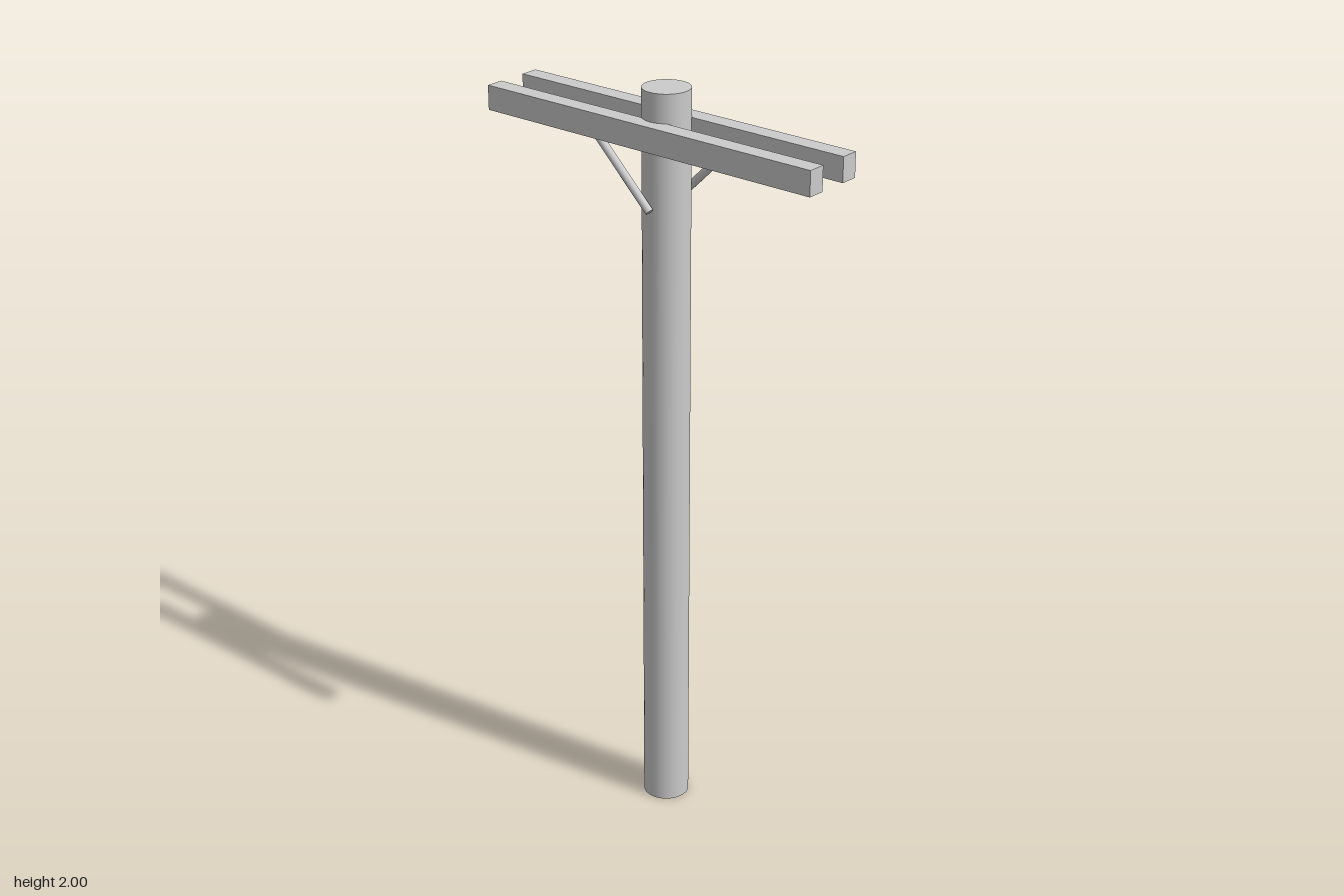
import * as THREE from 'three';

const POLE_Z = -0.009;

export function createModel() {
  const model = new THREE.Group();
  model.name = 'utilityPole';
  const material = new THREE.MeshStandardMaterial({ color: 0xcccccc });

  const add = (name, geometry, x, y, z) => {
    const mesh = new THREE.Mesh(geometry, material);
    mesh.name = name;
    mesh.position.set(x, y, z);
    model.add(mesh);
    return mesh;
  };

  // Round rod running between two points
  const rod = (name, from, to, radius) => {
    const dir = to.clone().sub(from);
    const mid = from.clone().add(to).multiplyScalar(0.5);
    const mesh = add(name, new THREE.CylinderGeometry(radius, radius, dir.length(), 16), mid.x, mid.y, mid.z);
    mesh.quaternion.setFromUnitVectors(new THREE.Vector3(0, 1, 0), dir.normalize());
  };

  // Upright pole
  add('pole', new THREE.CylinderGeometry(0.061, 0.061, 2, 32), 0, 1, POLE_Z);

  // A crossarm on each face, each with one diagonal brace to opposite sides
  const sides = [
    { name: 'front', armZ: 0.062, braceZ: 0.065, dir: -1 },
    { name: 'back', armZ: -0.064, braceZ: -0.061, dir: 1 },
  ];
  for (const { name, armZ, braceZ, dir } of sides) {
    add(name + 'Crossarm', new THREE.BoxGeometry(1.004, 0.064, 0.048), 0, 1.895, armZ);
    rod(
      name + 'Brace',
      new THREE.Vector3(-dir * 0.008, 1.705, braceZ),
      new THREE.Vector3(dir * 0.17, 1.88, braceZ),
      0.0105
    );
  }

  return model;
}
